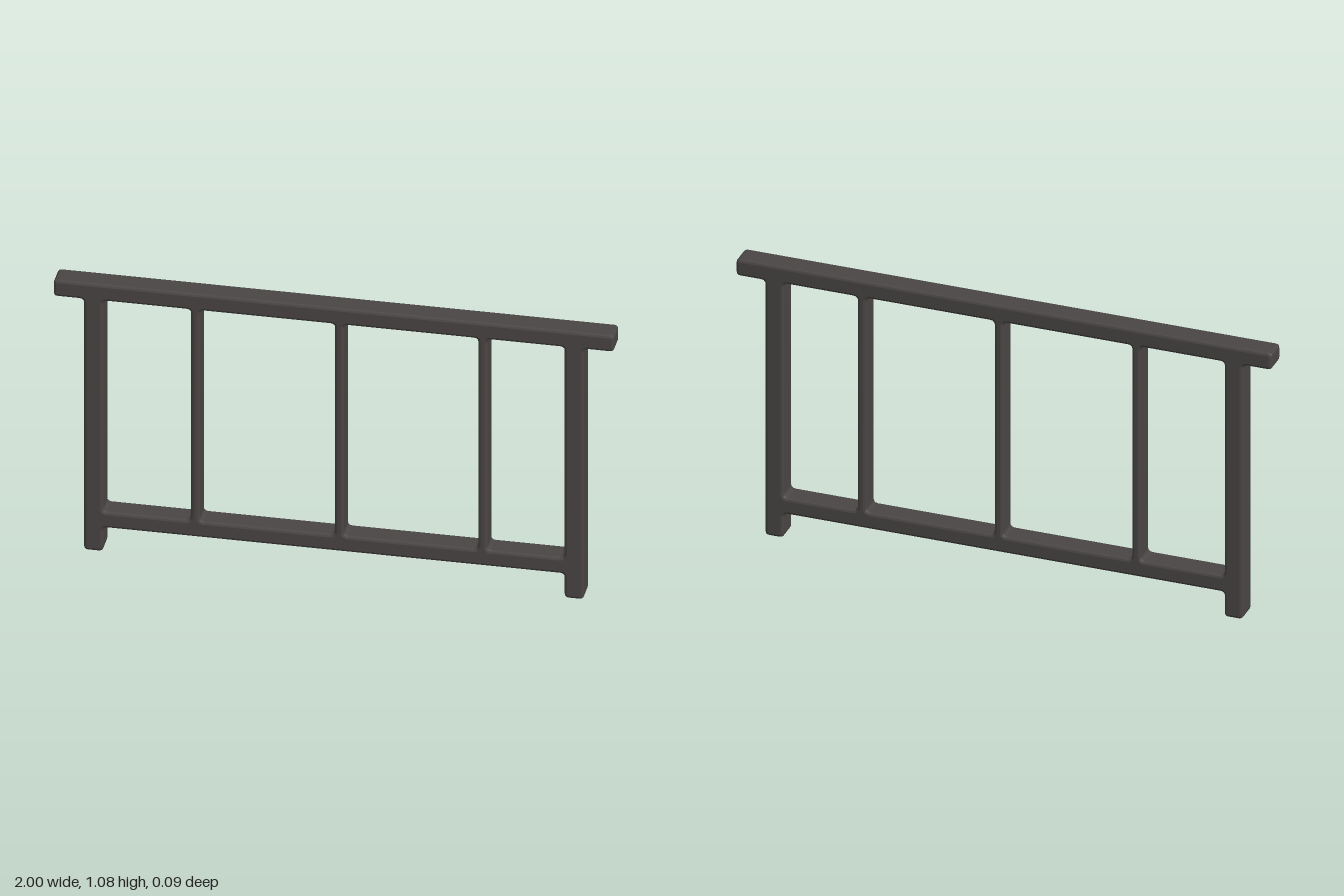
import * as THREE from 'three';

const DEPTH = 0.09, BEVEL = 0.01, CORNER = 0.015;

// Traces a closed polygon with every corner rounded.
function roundedPath(path, points) {
  const pts = points.map(([x, y]) => new THREE.Vector2(x, y));
  const n = pts.length;
  const toward = (a, b) => b.clone().sub(a).setLength(CORNER).add(a);
  pts.forEach((p, i) => {
    const start = toward(p, pts[(i + n - 1) % n]);
    const end = toward(p, pts[(i + 1) % n]);
    if (i === 0) path.moveTo(start.x, start.y);
    else path.lineTo(start.x, start.y);
    path.quadraticCurveTo(p.x, p.y, end.x, end.y);
  });
  path.closePath();
  return path;
}

export function createModel() {
  const group = new THREE.Group();
  group.name = 'railing';
  const darkMetal = new THREE.MeshStandardMaterial({ color: 0x4a4645 });
  darkMetal.name = 'darkMetal';

  // Heights of the rails and x positions of the posts
  const top = 1.077, underTop = 1.012, lowTop = 0.16, lowBottom = 0.097;
  const outer = 0.892, inner = 0.823;

  // Outline: two feet, posts and the overhanging handrail
  const outline = roundedPath(new THREE.Shape(), [
    [-outer, 0], [-inner, 0], [-inner, lowBottom], [inner, lowBottom],
    [inner, 0], [outer, 0], [outer, underTop], [1, underTop],
    [1, top], [-1, top], [-1, underTop], [-outer, underTop],
  ]);

  // Openings between the posts and the three slim balusters
  const balusters = [-0.494, 0.02, 0.531], half = 0.016;
  const edges = [-inner, ...balusters.flatMap((x) => [x - half, x + half]), inner];
  for (let i = 0; i < edges.length; i += 2) {
    const [a, b] = [edges[i], edges[i + 1]];
    outline.holes.push(roundedPath(new THREE.Path(), [
      [a, lowTop], [a, underTop], [b, underTop], [b, lowTop],
    ]));
  }

  // One welded frame with softened edges
  const geometry = new THREE.ExtrudeGeometry(outline, {
    depth: DEPTH - 2 * BEVEL, curveSegments: 3,
    bevelEnabled: true, bevelThickness: BEVEL, bevelSize: BEVEL,
    bevelOffset: -BEVEL, bevelSegments: 2,
  });
  geometry.translate(0, 0, BEVEL - DEPTH / 2);
  const frame = new THREE.Mesh(geometry, darkMetal);
  frame.name = 'railingFrame';
  group.add(frame);
  return group;
}
